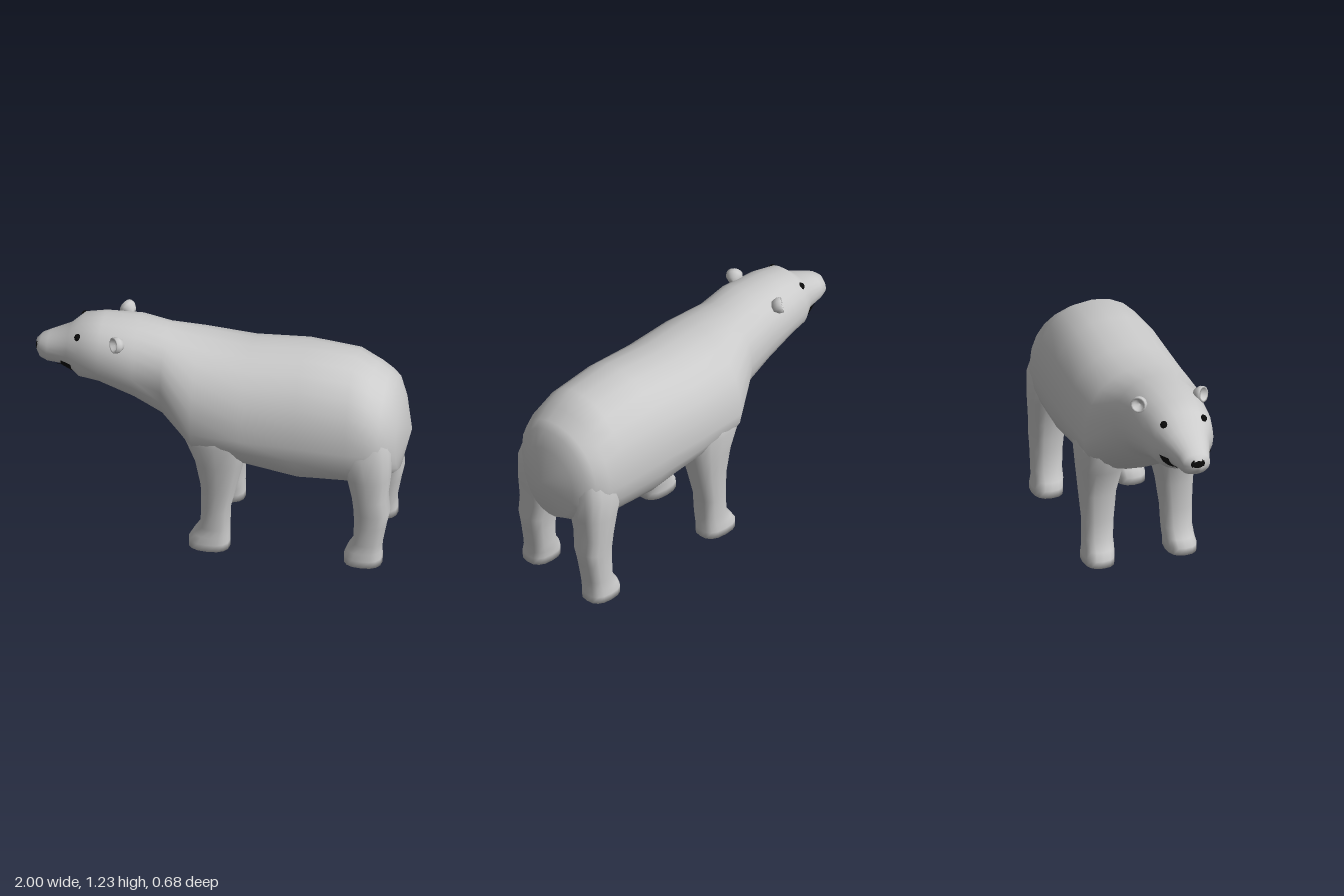
import * as THREE from 'three';

const grey = new THREE.MeshStandardMaterial({ color: 0xcccccc, side: THREE.DoubleSide });
const black = new THREE.MeshStandardMaterial({ color: 0x0a0a0a, side: THREE.DoubleSide });

// Body stations: x, top y, bottom y, widest y, half width
const STATIONS = [
  [-0.995, 1.045, 0.98, 1.01, 0.025],
  [-0.97, 1.068, 0.95, 1.01, 0.073],
  [-0.93, 1.09, 0.93, 1.01, 0.085],
  [-0.82, 1.14, 0.935, 1.03, 0.122],
  [-0.75, 1.208, 0.875, 1.03, 0.168],
  [-0.64, 1.225, 0.87, 1.03, 0.195],
  [-0.45, 1.225, 0.8, 1.0, 0.222],
  [-0.3, 1.195, 0.71, 0.94, 0.228],
  [-0.12, 1.165, 0.56, 0.77, 0.335],
  [0.14, 1.142, 0.49, 0.76, 0.34],
  [0.43, 1.165, 0.42, 0.75, 0.335],
  [0.7, 1.14, 0.43, 0.73, 0.322],
  [0.8, 1.075, 0.445, 0.73, 0.315],
  [0.87, 1.025, 0.46, 0.73, 0.285],
  [0.91, 0.995, 0.475, 0.73, 0.245],
  [0.945, 0.9, 0.49, 0.72, 0.185],
];

const power = (v, p) => Math.sign(v) * Math.abs(v) ** p;

function stationAt(x) {
  const i = Math.max(1, STATIONS.findIndex((s) => s[0] >= x));
  const a = STATIONS[i - 1], b = STATIONS[i];
  return a.map((v, k) => THREE.MathUtils.lerp(v, b[k], (x - a[0]) / (b[0] - a[0])));
}

// Point on the egg-shaped body section; t = 0 is the +z flank, PI/2 the spine
function bodyPoint([x, top, bottom, mid, half], t, grow = 0) {
  const s = Math.sin(t);
  const height = (s > 0 ? top - mid : mid - bottom) + grow;
  return [x, mid + height * power(s, 0.92), (half + grow) * power(Math.cos(t), 0.92)];
}

function toGeometry(points, index) {
  const g = new THREE.BufferGeometry();
  g.setAttribute('position', new THREE.Float32BufferAttribute(points.flat(), 3));
  g.setIndex(index);
  g.computeVertexNormals();
  return g;
}

// Skin over closed rings, with a fan to a point at each end
function loft(rings, startTip, endTip) {
  const n = rings[0].length, last = (rings.length - 1) * n, tip = rings.length * n;
  const index = [];
  for (let j = 0; j < n; j++) {
    const k = (j + 1) % n;
    for (let i = 0; i < last; i += n) {
      index.push(i + j, i + n + j, i + k, i + k, i + n + j, i + n + k);
    }
    index.push(tip, j, k, tip + 1, last + k, last + j);
  }
  return toGeometry([...rings.flat(), startTip, endTip], index);
}

const ringOf = (n, fn) => Array.from({ length: n }, (_, j) => fn((j / n) * Math.PI * 2));

// Leg levels: y, x min, x max, inner z, outer z
const FRONT_LEG = [
  [0.01, -0.145, 0.075, 0.145, 0.31],
  [0.05, -0.145, 0.075, 0.145, 0.31],
  [0.09, -0.12, 0.073, 0.14, 0.302],
  [0.14, -0.085, 0.073, 0.138, 0.3],
  [0.25, -0.08, 0.075, 0.132, 0.3],
  [0.4, -0.083, 0.11, 0.115, 0.31],
  [0.55, -0.115, 0.145, 0.08, 0.322],
  [0.68, -0.17, 0.18, 0.06, 0.332],
  [0.78, -0.15, 0.18, 0.06, 0.325],
  [0.9, -0.08, 0.12, 0.08, 0.25],
];
const HIND_LEG = [
  [0.01, 0.68, 0.885, 0.145, 0.31],
  [0.05, 0.68, 0.885, 0.145, 0.31],
  [0.09, 0.695, 0.882, 0.14, 0.302],
  [0.14, 0.728, 0.885, 0.138, 0.3],
  [0.25, 0.732, 0.905, 0.132, 0.3],
  [0.33, 0.73, 0.922, 0.122, 0.303],
  [0.42, 0.72, 0.91, 0.105, 0.308],
  [0.55, 0.69, 0.925, 0.08, 0.315],
  [0.7, 0.64, 0.93, 0.07, 0.318],
  [0.85, 0.66, 0.9, 0.07, 0.27],
  [0.95, 0.7, 0.85, 0.08, 0.2],
];

function legGeometry(levels, side) {
  const rings = levels.map(([y, x0, x1, z0, z1]) => ringOf(16, (t) => [
    (x0 + x1) / 2 + ((x1 - x0) / 2) * power(Math.cos(t), 0.8),
    y,
    (side * (z0 + z1)) / 2 + ((z1 - z0) / 2) * power(Math.sin(t), 0.8),
  ]));
  const centre = ([y, x0, x1, z0, z1], dy) => [(x0 + x1) / 2, y + dy, (side * (z0 + z1)) / 2];
  return loft(rings, centre(levels[0], -0.01), centre(levels[levels.length - 1], 0.02));
}

// Dark patch lying just above the body surface
function patch(x0, x1, t0, t1, side) {
  const points = [], index = [], rows = 6;
  for (let i = 0; i <= rows; i++) {
    for (const x of [x0, x1]) {
      const t = THREE.MathUtils.lerp(t0, t1, i / rows);
      const [px, py, pz] = bodyPoint(stationAt(x), t, 0.006);
      points.push([px, py, pz * side]);
    }
    const a = i * 2;
    if (i < rows) index.push(...(side > 0 ? [a, a + 1, a + 2, a + 2, a + 1, a + 3] : [a, a + 2, a + 1, a + 2, a + 3, a + 1]));
  }
  return toGeometry(points, index);
}

export function createModel() {
  const model = new THREE.Group();
  model.name = 'bear';
  const add = (name, geometry, material = grey) => {
    const mesh = new THREE.Mesh(geometry, material);
    mesh.name = name;
    model.add(mesh);
    return mesh;
  };

  // Head, neck and trunk in one skin
  const rings = STATIONS.map((s) => ringOf(24, (t) => bodyPoint(s, t)));
  add('body', loft(rings, [-0.998, 1.012, 0], [1, 0.72, 0]));

  const nose = add('nose', new THREE.SphereGeometry(1, 12, 8), black);
  nose.position.set(-0.983, 1.017, 0);
  nose.scale.set(0.017, 0.034, 0.042);

  // Cupped ear profile: outer shell, rim, then hollow
  const earProfile = [[0, -0.035], [0.03, -0.025], [0.046, 0.005], [0.045, 0.03], [0.034, 0.03], [0.028, 0.008], [0, -0.005]]
    .map(([r, y]) => new THREE.Vector2(r, y));

  for (const side of [1, -1]) {
    const label = side < 0 ? 'right' : 'left';
    add(label + 'FrontLeg', legGeometry(FRONT_LEG, side));
    add(label + 'HindLeg', legGeometry(HIND_LEG, side));

    const ear = add(label + 'Ear', new THREE.LatheGeometry(earProfile, 14));
    ear.position.set(-0.535, 1.175, 0.165 * side);
    ear.scale.set(0.95, 0.9, 0.95);
    ear.quaternion.setFromUnitVectors(
      new THREE.Vector3(0, 1, 0), new THREE.Vector3(-0.75, 0.2, 0.6 * side).normalize());

    const eye = add(label + 'Eye', new THREE.SphereGeometry(0.021, 10, 8), black);
    eye.position.set(-0.757, 1.152, 0.108 * side);

    // Corner of the mouth
    add(label + 'Mouth', patch(-0.85, -0.79, -1.25, -0.22, side), black);
    add(label + 'Lip', patch(-0.872, -0.85, -0.95, -0.6, side), black);
  }
  return model;
}
